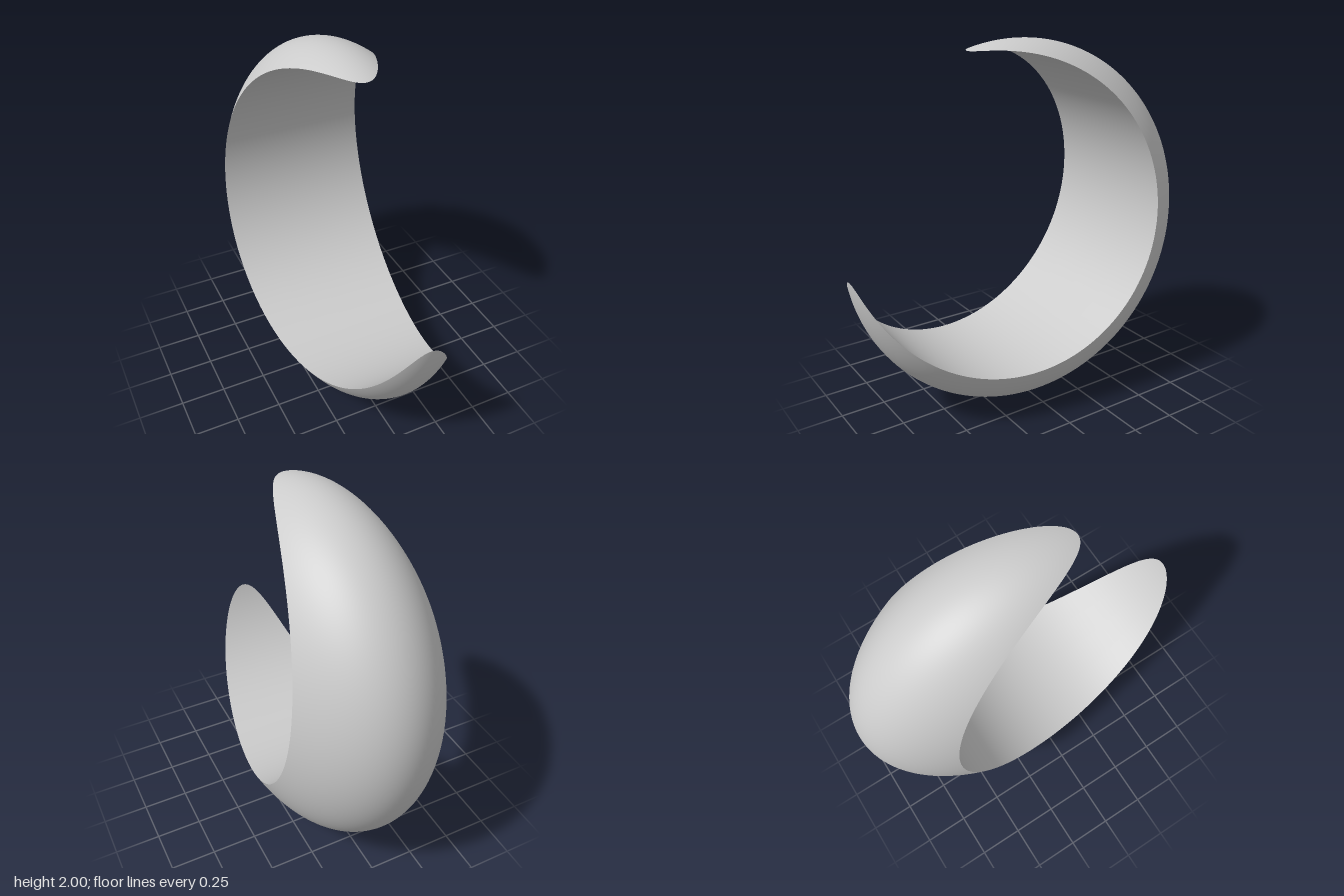
import * as THREE from 'three';

// Crescent: a flattened ball hollowed by a cylinder lying along x
const HALF_WIDTH = 0.555;
const CUT_Y = 0.13, CUT_Z = 0.2, CUT_R = 0.83; // cylinder axis, relative to the ball centre

const offset = Math.hypot(CUT_Y, CUT_Z);
const heading = Math.atan2(CUT_Y, CUT_Z);
// angle, seen from the cylinder axis, at which ball and cylinder meet in a tip
const tip = Math.acos((1 - CUT_R ** 2 - offset ** 2) / (2 * CUT_R * offset));

// Elliptical slice of the ball in the half-plane leaving the cylinder axis at angle phi
function slice(phi) {
  const y = Math.sin(phi), z = Math.cos(phi);
  const mid = -(CUT_Y * y + CUT_Z * z);
  const half = Math.sqrt(1 - offset ** 2 + mid ** 2);
  const edge = Math.acos(Math.min(1, (CUT_R - mid) / half));
  return { y, z, mid, half, edge };
}

// Surface swept from the upper tip round the back to the lower tip
function sweep(cols, pointAt, normalAt, inward) {
  const rows = 160, pos = [], nor = [], index = [];
  for (let i = 0; i <= rows; i++) {
    // rows crowd together at the tips to keep them round
    const t = (1 - Math.cos((Math.PI * i) / rows)) / 2;
    const s = slice(heading + tip + t * 2 * (Math.PI - tip));
    for (let j = 0; j <= cols; j++) {
      const p = pointAt(s, (2 * j) / cols - 1);
      pos.push(p.x, p.y + 1, p.z);
      nor.push(...normalAt(s, p).normalize().toArray());
      if (i < rows && j < cols) {
        const a = i * (cols + 1) + j, b = a + 1, c = a + cols + 1, d = c + 1;
        index.push(...(inward ? [a, c, b, b, c, d] : [a, b, c, b, d, c]));
      }
    }
  }
  const g = new THREE.BufferGeometry();
  g.setAttribute('position', new THREE.Float32BufferAttribute(pos, 3));
  g.setAttribute('normal', new THREE.Float32BufferAttribute(nor, 3));
  g.setIndex(index);
  return g;
}

export function createModel() {
  const group = new THREE.Group();
  group.name = 'crescent';
  const material = new THREE.MeshStandardMaterial({ color: 0xcccccc });

  // Rounded outside
  const outer = new THREE.Mesh(sweep(48,
    (s, k) => {
      const u = k * s.edge, r = s.mid + s.half * Math.cos(u);
      return new THREE.Vector3(HALF_WIDTH * s.half * Math.sin(u), CUT_Y + r * s.y, CUT_Z + r * s.z);
    },
    (s, p) => new THREE.Vector3(p.x / HALF_WIDTH ** 2, p.y, p.z), false), material);
  outer.name = 'outerShell';

  // Cylindrical hollow, straight across
  const inner = new THREE.Mesh(sweep(4,
    (s, k) => new THREE.Vector3(
      k * HALF_WIDTH * s.half * Math.sin(s.edge), CUT_Y + CUT_R * s.y, CUT_Z + CUT_R * s.z),
    (s) => new THREE.Vector3(0, -s.y, -s.z), true), material);
  inner.name = 'innerHollow';

  group.add(outer, inner);
  return group;
}
